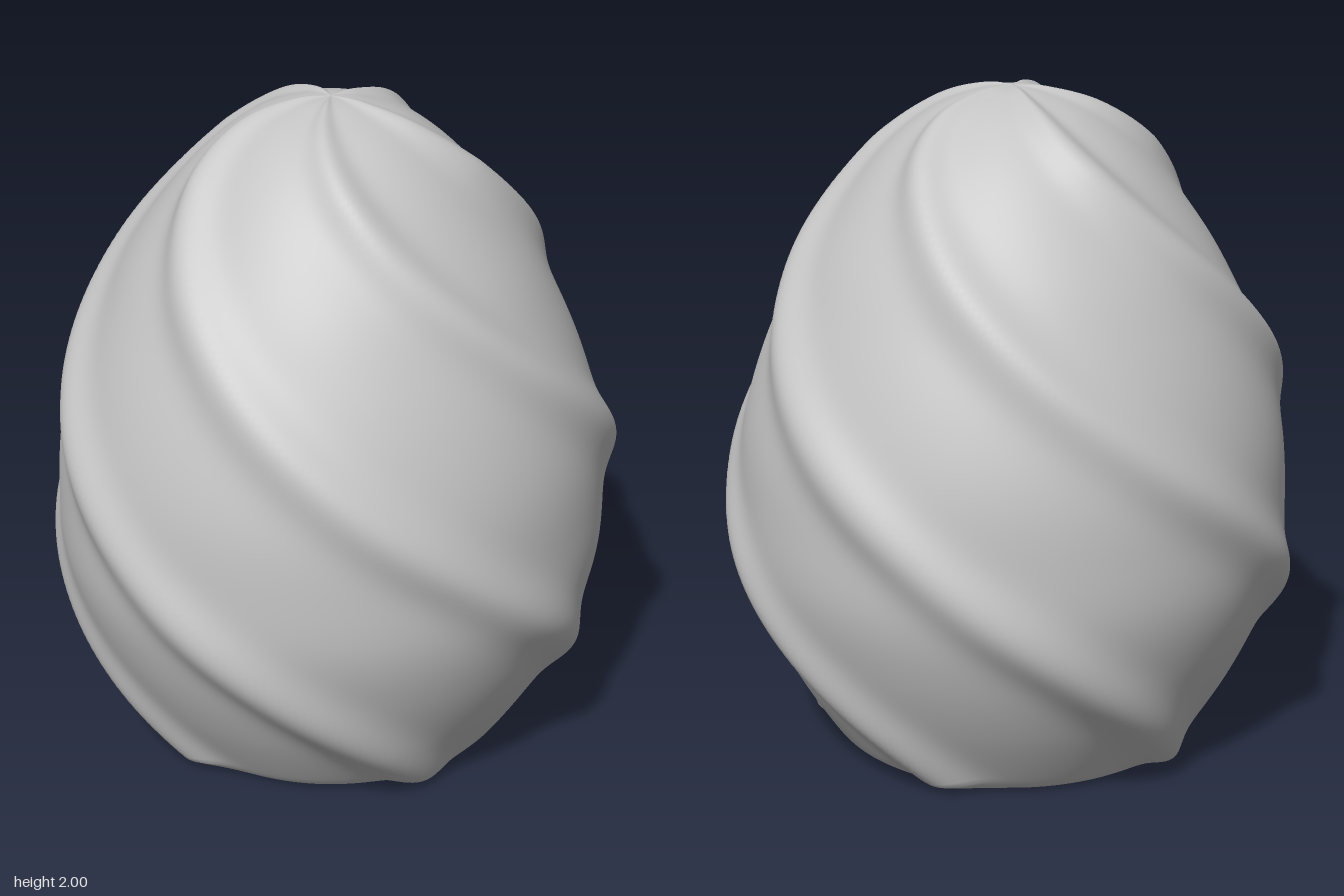
import * as THREE from 'three';

const RIDGES = 5;
const TWIST = THREE.MathUtils.degToRad(93); // turn per unit of height
const RIDGE_HEIGHT = 0.045;
const RIDGE_WIDTH = THREE.MathUtils.degToRad(7);
const ROWS = 144;
const SIDES = 240;

// Egg outline as (radius, height), from the tip down to the cut base
const outline = new THREE.SplineCurve([
  [0, 2], [0.1, 1.985], [0.25, 1.922], [0.405, 1.79], [0.567, 1.58], [0.675, 1.385], [0.757, 1.19],
  [0.809, 1.0], [0.827, 0.81], [0.822, 0.61], [0.772, 0.42], [0.685, 0.226], [0.57, 0.04], [0.525, 0],
].map(([r, y]) => new THREE.Vector2(r, y)));

// Ridge profile: narrow rounded crest, repeated around the axis
function ridge(angle) {
  const step = (2 * Math.PI) / RIDGES;
  const d = angle - step * Math.round(angle / step);
  return Math.exp(-0.5 * (d / RIDGE_WIDTH) ** 2);
}

// Ridges rise along the outline's normal and fade out at the tip and the base
function shellPoint(t, angle) {
  const p = outline.getPoint(t);
  const tan = outline.getTangent(t);
  const fade = Math.min(1, p.x / 0.4, p.y / 0.05);
  const lift = RIDGE_HEIGHT * fade * ridge(angle - TWIST * (1 - p.y));
  const r = Math.max(0, p.x - tan.y * lift);
  const y = Math.max(0, p.y + tan.x * lift);
  return [r * Math.sin(angle), y, r * Math.cos(angle)];
}

function makeGeometry(positions, index) {
  const g = new THREE.BufferGeometry();
  g.setAttribute('position', new THREE.Float32BufferAttribute(positions, 3));
  g.setIndex(index);
  g.computeVertexNormals();
  return g;
}

export function createModel() {
  const group = new THREE.Group();
  group.name = 'spiralEgg';
  const grey = new THREE.MeshStandardMaterial({ color: 0xc4c4c4 });
  grey.name = 'grey';

  // Ridged shell, closed around the axis
  const pos = [];
  const idx = [];
  for (let i = 0; i <= ROWS; i++) {
    for (let j = 0; j < SIDES; j++) pos.push(...shellPoint(i / ROWS, (j / SIDES) * 2 * Math.PI));
  }
  for (let i = 0; i < ROWS; i++) {
    for (let j = 0; j < SIDES; j++) {
      const k = (j + 1) % SIDES;
      const a = i * SIDES + j, b = i * SIDES + k;
      const c = a + SIDES, d = b + SIDES;
      if (i > 0) idx.push(a, c, b);
      idx.push(b, c, d);
    }
  }
  const shellGeometry = makeGeometry(pos, idx);
  // The tip points straight up
  for (let j = 0; j < SIDES; j++) shellGeometry.attributes.normal.setXYZ(j, 0, 1, 0);
  const shell = new THREE.Mesh(shellGeometry, grey);
  shell.name = 'shell';
  group.add(shell);

  // Flat base with the shell's lower rim as its outline
  const basePos = [0, 0, 0, ...pos.slice(ROWS * SIDES * 3)];
  const baseIdx = [];
  for (let j = 0; j < SIDES; j++) baseIdx.push(0, 1 + ((j + 1) % SIDES), 1 + j);
  const base = new THREE.Mesh(makeGeometry(basePos, baseIdx), grey);
  base.name = 'base';
  group.add(base);

  return group;
}
